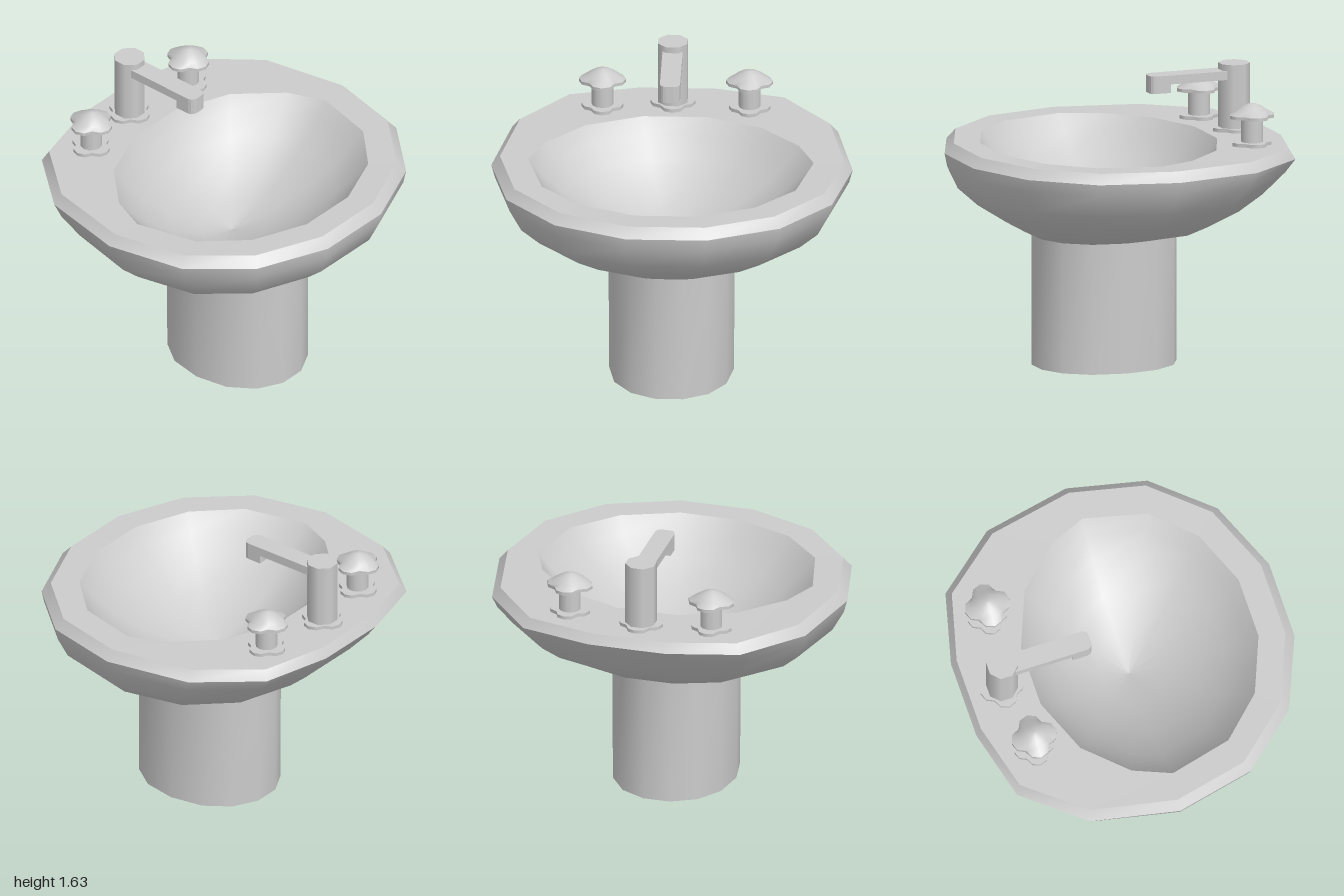
import * as THREE from 'three';

const material = new THREE.MeshStandardMaterial({ color: 0xcccccc, side: THREE.DoubleSide });

function add(parent, name, geometry, x = 0, y = 0, z = 0) {
  const mesh = new THREE.Mesh(geometry, material);
  mesh.name = name;
  mesh.position.set(x, y, z);
  parent.add(mesh);
  return mesh;
}

// Skin a series of closed rings; smooth within one call, sharp between calls.
function loft(rings, flat = false) {
  const n = rings[0].length;
  const index = [];
  for (let i = 0; i < rings.length - 1; i++) {
    for (let j = 0; j < n; j++) {
      const k = (j + 1) % n, a = i * n, b = a + n;
      index.push(a + j, b + j, a + k, b + j, b + k, a + k);
    }
  }
  let g = new THREE.BufferGeometry();
  g.setAttribute('position', new THREE.Float32BufferAttribute(rings.flat(2), 3));
  g.setIndex(index);
  if (flat) g = g.toNonIndexed();
  g.computeVertexNormals();
  return g;
}

// 14-sided oval: half width, centre z, front and back z; square widens the back corners.
const SIDES = 14;
const ROUND = [0, 0.478, 0.82, 1];
const BOXY = [0, 0.53, 0.89, 1];
function oval(y, rx, zc, front, back, square = 0) {
  return Array.from({ length: SIDES }, (_, j) => {
    const a = (j / SIDES) * Math.PI * 2;
    const step = j % 7 > 3 ? 7 - (j % 7) : j % 7;
    const isBack = j > 7;
    const t = THREE.MathUtils.lerp(ROUND[step], BOXY[step], isBack ? square : 0);
    return [rx * Math.cos(a), y, zc + t * ((isBack ? back : front) - zc)];
  });
}

// Basin ring at scale s of the opening; its two side corners sit further back.
function basinRing(y, s) {
  return Array.from({ length: SIDES }, (_, j) => {
    const a = (j / SIDES) * Math.PI * 2;
    const corner = j % 7 === 0;
    const x = -0.005 + s * (corner ? 0.79 : 0.78) * Math.cos(a);
    return [x, y, 0.03 + s * (0.065 + 0.651 * Math.sin(a) - (corner ? 0.07 : 0))];
  });
}

// Four-lobed ring; notch = 0 gives a circle.
function lobed(y, r, notch = 0.26) {
  return Array.from({ length: 16 }, (_, j) => {
    const a = (j / 16) * Math.PI * 2;
    const d = r * (1 - notch * Math.sin(2 * a) ** 4);
    return [d * Math.cos(a), y, d * Math.sin(a)];
  });
}

function addBasePlate(parent, r) {
  add(parent, 'basePlateSide', loft([lobed(-0.004, r), lobed(0.017, r)]));
  add(parent, 'basePlateTop', loft([lobed(0.017, r), lobed(0.017, 0)], true));
}

export function createModel() {
  const model = new THREE.Group();
  model.name = 'pedestalSink';

  // Hollow pedestal, open at the floor
  add(model, 'pedestal', loft([
    oval(0, 0.345, 0.065, 0.465, -0.335),
    oval(0.735, 0.35, 0.065, 0.465, -0.335),
  ]));

  // Outer bowl, rim and deck
  const rimLow = oval(1.197, 1, 0, 0.925, -0.93, 1);
  const rimHigh = oval(1.252, 0.952, 0, 0.875, -0.9, 1);
  add(model, 'bowl', loft([
    oval(0.735, 0.35, 0.065, 0.465, -0.335),
    oval(0.8, 0.625, 0.05, 0.59, -0.485, 0.2),
    oval(0.9, 0.8, 0.035, 0.745, -0.645, 0.4),
    oval(1.0, 0.91, 0.02, 0.855, -0.76, 0.6),
    oval(1.125, 0.98, 0.005, 0.912, -0.875, 0.9),
    rimLow,
  ]));
  add(model, 'rimBevel', loft([rimLow, rimHigh]));
  add(model, 'deck', loft([rimHigh, basinRing(1.25, 1)], true));

  // Basin hollow: height and scale of the opening
  const basin = [[1.25, 1], [1.165, 0.91], [1.055, 0.76], [0.94, 0.54], [0.85, 0.28], [0.8, 0]];
  add(model, 'basin', loft(basin.map(([y, s]) => basinRing(y, s))));

  // Tap handles
  for (const side of [-1, 1]) {
    const handle = new THREE.Group();
    handle.name = side > 0 ? 'leftHandle' : 'rightHandle';
    handle.position.set(side * 0.407, 1.253, -0.655);
    addBasePlate(handle, 0.115);
    add(handle, 'stem', new THREE.CylinderGeometry(0.061, 0.061, 0.15, 12, 1, true), 0, 0.085, 0);
    add(handle, 'knobUnderside', loft([lobed(0.152, 0), lobed(0.152, 0.13)], true));
    add(handle, 'knobEdge', loft([lobed(0.152, 0.13), lobed(0.17, 0.13)]));
    add(handle, 'knobDome', loft([
      lobed(0.17, 0.13),
      lobed(0.193, 0.088, 0),
      lobed(0.217, 0.052, 0),
      lobed(0.23, 0.022, 0),
      lobed(0.233, 0, 0),
    ]));
    model.add(handle);
  }

  // Faucet
  const faucet = new THREE.Group();
  faucet.name = 'faucet';
  faucet.position.set(-0.019, 1.253, -0.712);
  addBasePlate(faucet, 0.125);
  const post = new THREE.CylinderGeometry(0.088, 0.088, 0.377, 8);
  post.rotateY(Math.PI / 8);
  add(faucet, 'post', post, 0, 0.1885, 0);

  // Spout plan with a rounded tip, extruded downwards
  const plan = (start) => {
    const s = new THREE.Shape();
    s.moveTo(-0.056, start);
    s.lineTo(0.056, start);
    s.lineTo(0.056, 0.478);
    s.quadraticCurveTo(0.052, 0.512, 0.02, 0.512);
    s.lineTo(-0.02, 0.512);
    s.quadraticCurveTo(-0.052, 0.512, -0.056, 0.478);
    return s;
  };
  const slab = (start, depth) => new THREE.ExtrudeGeometry(plan(start),
    { depth, bevelEnabled: false, curveSegments: 3 }).rotateX(Math.PI / 2);
  add(faucet, 'spoutArm', slab(0.05, 0.05), 0, 0.342, 0);
  add(faucet, 'spoutTip', slab(0.395, 0.048), 0, 0.292, 0);
  model.add(faucet);

  return model;
}
